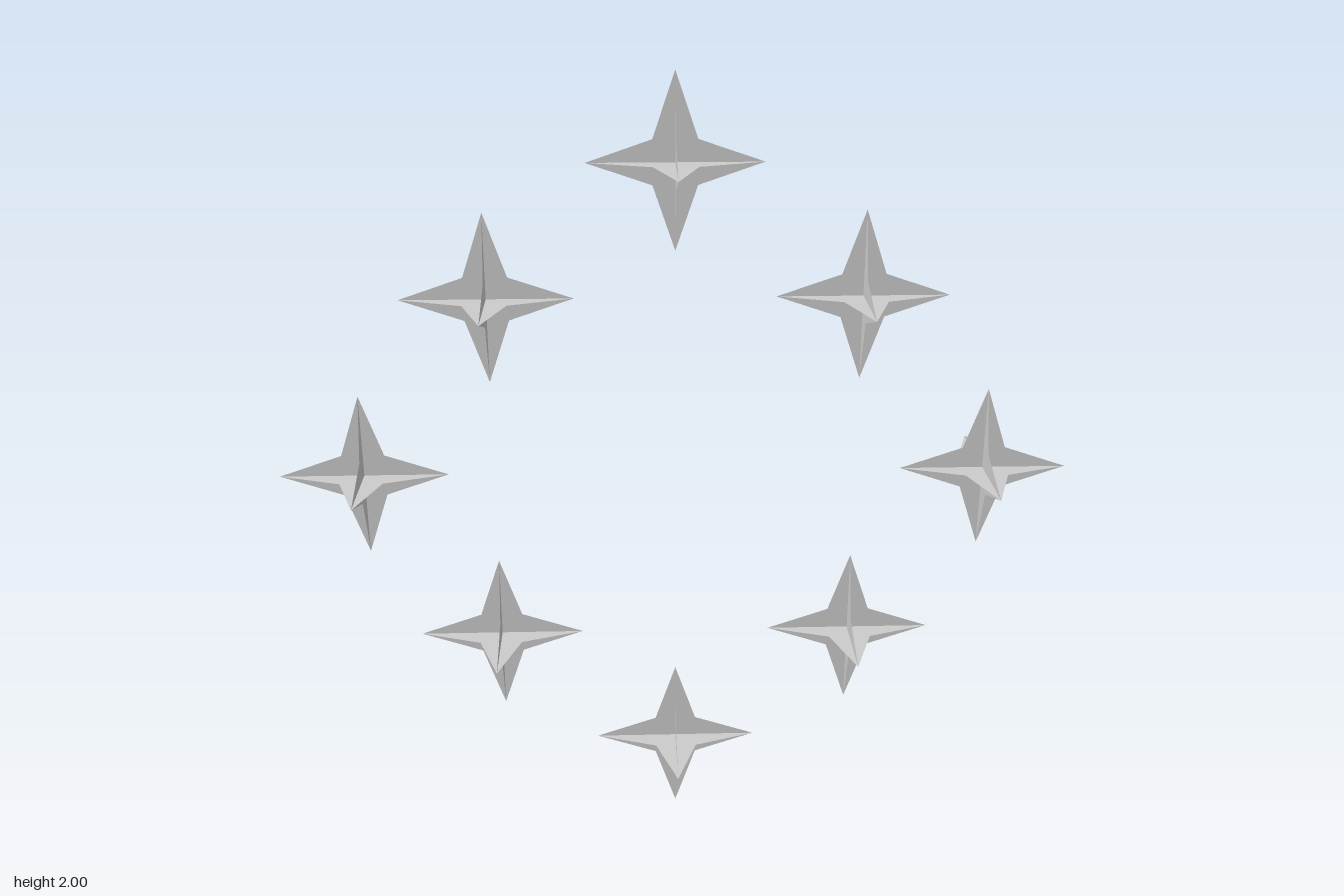
import * as THREE from 'three';

const TIP = 0.2125;    // centre to tip of a spike
const NOTCH = 0.054;   // x and y of the notch between two spikes
const RING = 0.7875;   // distance of the four outer stars
const DIAGONAL = 0.459; // x and y offset of the four diagonal stars

// Flat four-pointed star outline
function starShape() {
  const points = [];
  for (let i = 0; i < 8; i++) {
    const a = (i * Math.PI) / 4;
    const r = i % 2 ? NOTCH * Math.SQRT2 : TIP;
    points.push(new THREE.Vector2(Math.cos(a) * r, Math.sin(a) * r));
  }
  return new THREE.Shape(points);
}

export function createModel() {
  const model = new THREE.Group();
  model.name = 'starRing';
  const material = new THREE.MeshStandardMaterial({
    color: 0xcccccc, flatShading: true, side: THREE.DoubleSide,
  });
  const geometry = new THREE.ShapeGeometry(starShape());

  // Three crossed blades make one six-spiked star
  const blades = [
    ['frontBlade', 0, 0],
    ['sideBlade', 0, Math.PI / 2],
    ['levelBlade', -Math.PI / 2, 0],
  ];

  // Eight upright stars: four on the axes, four set in on the diagonals
  for (let i = 0; i < 8; i++) {
    const a = (i * Math.PI) / 4;
    const r = i % 2 ? DIAGONAL * Math.SQRT2 : RING;
    const star = new THREE.Group();
    star.name = `star${i + 1}`;
    star.position.set(Math.cos(a) * r, 1 + Math.sin(a) * r, 0);
    for (const [name, rx, ry] of blades) {
      const blade = new THREE.Mesh(geometry, material);
      blade.name = name;
      blade.rotation.set(rx, ry, 0);
      star.add(blade);
    }
    model.add(star);
  }
  return model;
}
